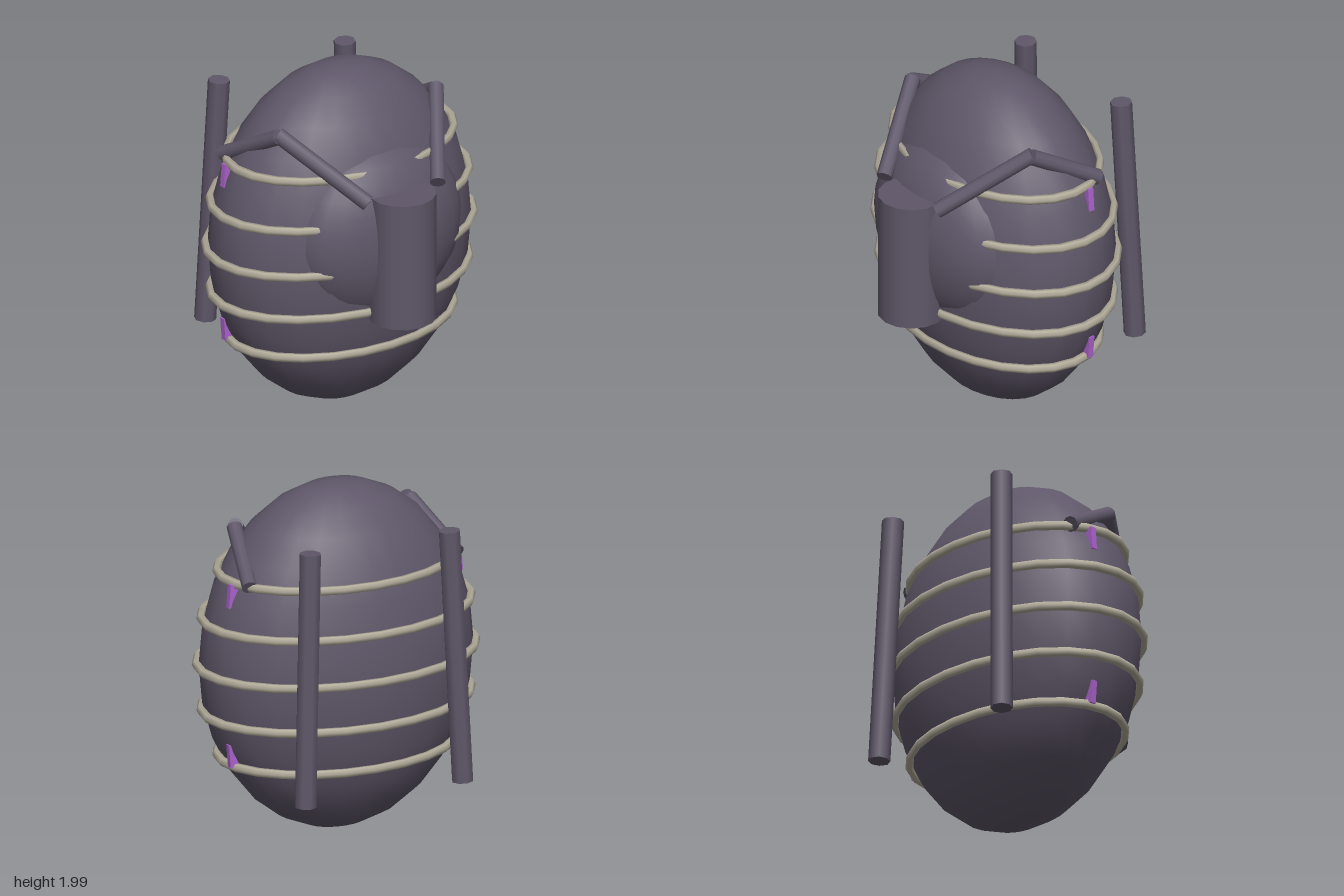
import * as THREE from 'three';

const shell = new THREE.MeshStandardMaterial({ color: 0x5f5769 });
shell.name = 'dusky shell';
const bone = new THREE.MeshStandardMaterial({ color: 0xb0aa99 });
bone.name = 'pale band';
const violet = new THREE.MeshStandardMaterial({ color: 0xab62cc });
violet.name = 'violet shard';

const CENTER_Y = 1.003, CENTER_Z = -0.062, DEPTH = 0.7;

export function createModel() {
  const group = new THREE.Group();

  const add = (name, geometry, material) => {
    const mesh = new THREE.Mesh(geometry, material);
    mesh.name = name;
    group.add(mesh);
    return mesh;
  };

  const ellipsoid = (name, radii, pos, ws, hs) => {
    const g = new THREE.SphereGeometry(1, ws, hs).scale(...radii);
    add(name, g, shell).position.set(...pos);
  };

  // Round bar between two points
  const bar = (name, from, to, radius, sides) => {
    const a = new THREE.Vector3(...from), b = new THREE.Vector3(...to);
    const dir = b.clone().sub(a);
    const mesh = add(name, new THREE.CylinderGeometry(radius, radius, dir.length(), sides), shell);
    mesh.position.copy(a).add(b).multiplyScalar(0.5);
    mesh.quaternion.setFromUnitVectors(new THREE.Vector3(0, 1, 0), dir.normalize());
  };

  // Egg-shaped body, bulging face and upright snout
  ellipsoid('body', [0.795, 0.997, 0.556], [0, CENTER_Y, CENTER_Z], 24, 14);
  ellipsoid('face', [0.54, 0.522, 0.3], [0, 1.13, 0.27], 24, 16);
  add('snout', new THREE.CylinderGeometry(0.187, 0.187, 0.745, 14), shell)
    .position.set(0, 1.057, 0.523);

  // Bands around the body
  [[0.472, 0.69], [0.737, 0.782], [1.003, 0.809], [1.269, 0.782], [1.535, 0.69]].forEach(([y, r], i) => {
    const g = new THREE.TorusGeometry(r, 0.026, 6, 24).rotateX(Math.PI / 2).scale(1, 1, DEPTH);
    add('band' + (i + 1), g, bone).position.set(0, y, CENTER_Z);
  });

  for (const s of [1, -1]) {
    const side = s > 0 ? 'left' : 'right';

    // Bent feeler: two bars meeting at an elbow
    bar(side + 'FeelerFront', [s * 0.235, 1.43, 0.53], [s * 0.535, 1.765, 0.1], 0.044, 10);
    bar(side + 'FeelerBack', [s * 0.535, 1.755, 0.11], [s * 0.635, 1.54, -0.275], 0.044, 10);

    // Slanted pole behind the body
    bar(side + 'BackPole', [s * 0.48, 0.362, -0.648], [s * 0.425, 1.805, -0.596], 0.061, 8);

    // Shards poking out beside the top and bottom bands
    for (const v of [1, -1]) {
      const tri = new THREE.Shape([[0.716, 0.397], [0.705, 0.53], [0.63, 0.53], [0.65, 0.4]]
        .map(([x, y]) => new THREE.Vector2(s * x, v * y)));
      add(side + (v > 0 ? 'Upper' : 'Lower') + 'Shard',
        new THREE.ExtrudeGeometry(tri, { depth: 0.035, bevelEnabled: false }), violet)
        .position.set(0, CENTER_Y, -0.185);
    }
  }

  return group;
}
